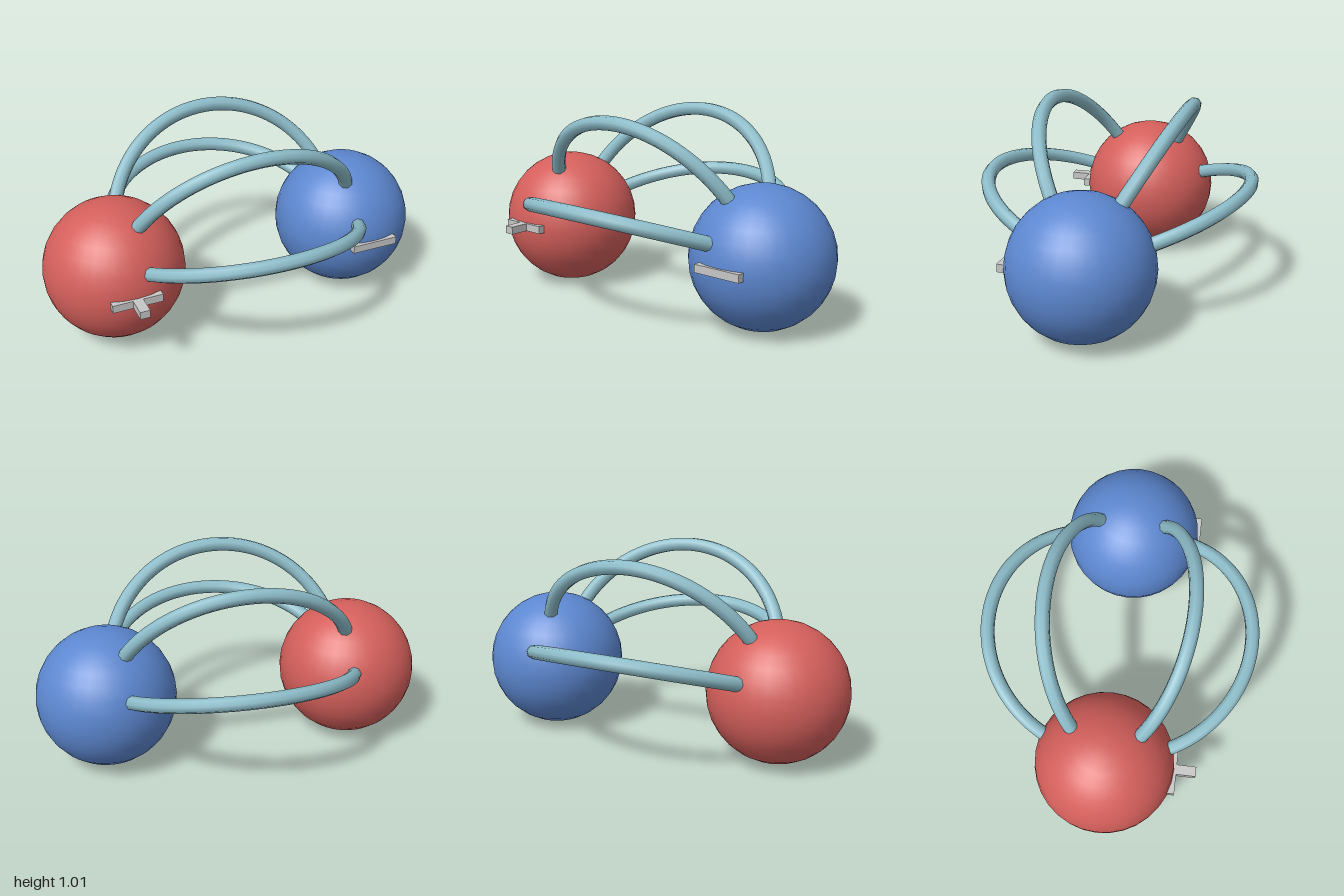
import * as THREE from 'three';

const POLE_X = 0.645, POLE_Y = 0.358, POLE_R = 0.355;

function material(name, color) {
  const m = new THREE.MeshStandardMaterial({ color });
  m.name = name;
  return m;
}

// Circular arc bulging away from the axis that joins the poles
function arcCurve() {
  const radius = 0.609, offset = 0.104, half = THREE.MathUtils.degToRad(69);
  const curve = new THREE.Curve();
  curve.getPoint = (t, target = new THREE.Vector3()) => {
    const a = (t * 2 - 1) * half;
    return target.set(radius * Math.sin(a), offset + radius * Math.cos(a), 0);
  };
  return curve;
}

export function createModel() {
  const group = new THREE.Group();
  const red = material('red', 0xd45f5b);
  const blue = material('blue', 0x5c87d0);
  const teal = material('pale teal', 0x8dbdca);
  teal.side = THREE.DoubleSide;
  const grey = material('light grey', 0xc6c6c6);

  const add = (name, geometry, mat, x, y, z) => {
    const mesh = new THREE.Mesh(geometry, mat);
    mesh.name = name;
    mesh.position.set(x, y, z);
    group.add(mesh);
    return mesh;
  };

  // Two pole spheres
  const sphere = new THREE.SphereGeometry(POLE_R, 32, 16);
  add('positivePole', sphere, red, -POLE_X, POLE_Y, 0);
  add('negativePole', sphere, blue, POLE_X, POLE_Y, 0);

  // Plus and minus bars, set into the sphere fronts
  const bar = new THREE.BoxGeometry(0.25, 0.04, 0.05);
  add('plusBar', bar, grey, -POLE_X, POLE_Y + 0.003, 0.34);
  add('plusCrossBar', new THREE.BoxGeometry(0.05, 0.04, 0.25), grey, -POLE_X, POLE_Y + 0.003, 0.338);
  add('minusBar', bar, grey, POLE_X, POLE_Y + 0.003, 0.34);

  // Field lines fanned around the pole axis
  const tube = new THREE.TubeGeometry(arcCurve(), 40, 0.036, 8, false);
  for (const tilt of [70, 30, -30, -70]) {
    const line = add('fieldLine', tube, teal, 0, POLE_Y, 0);
    line.rotation.x = THREE.MathUtils.degToRad(tilt);
  }
  return group;
}
